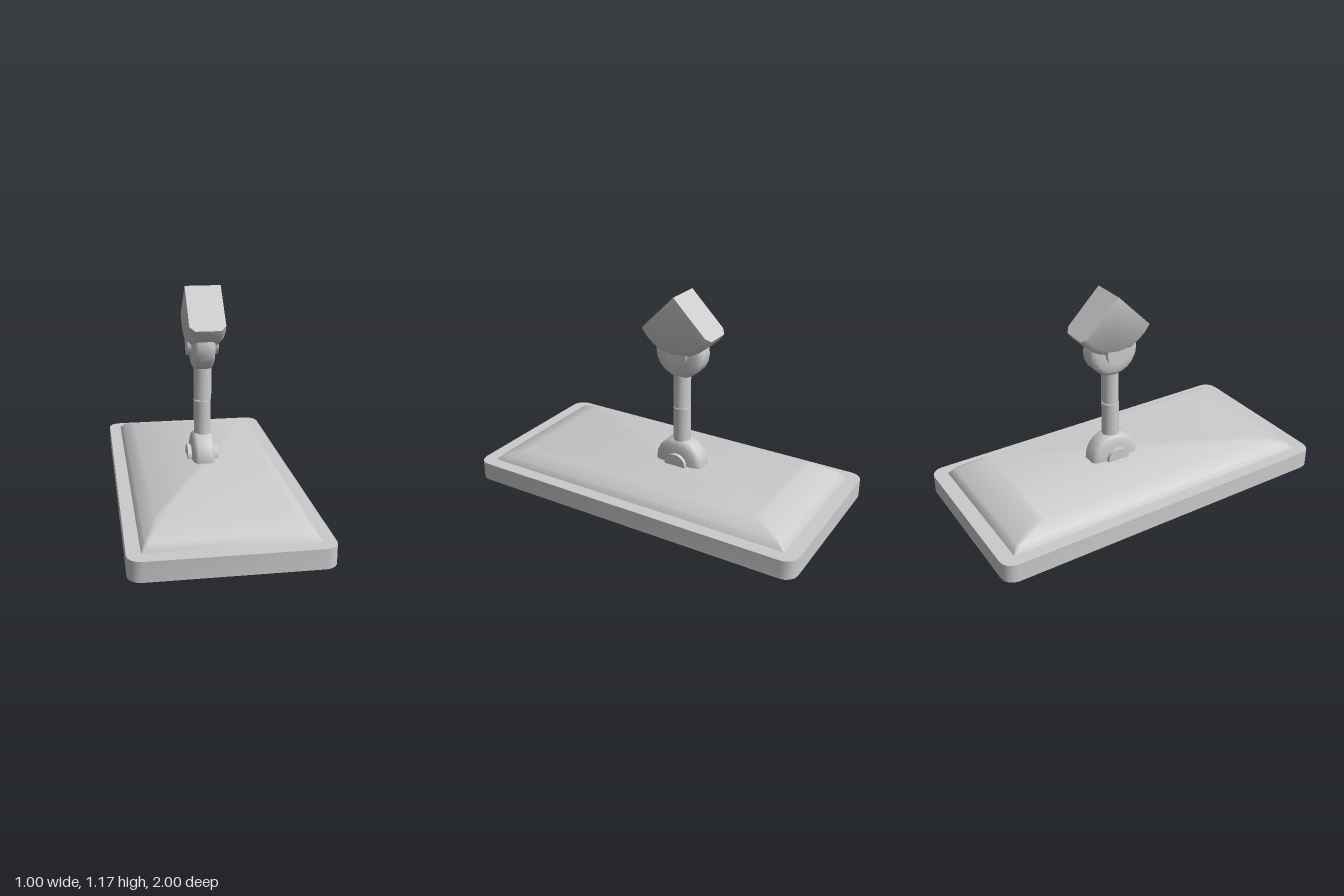
import * as THREE from 'three';
import { toCreasedNormals } from 'three/addons/utils/BufferGeometryUtils.js';

const material = new THREE.MeshStandardMaterial({ color: 0xcccccc });

function addMesh(parent, name, geometry, crease = 0.7) {
  const mesh = new THREE.Mesh(toCreasedNormals(geometry, crease), material);
  mesh.name = name;
  parent.add(mesh);
  return mesh;
}

// Skins a list of closed rings (equal point counts) and caps both ends
function loft(rings) {
  const n = rings[0].length;
  const points = rings.flat();
  const index = [];
  for (let i = 0; i < rings.length - 1; i++) {
    for (let j = 0; j < n; j++) {
      const k = (j + 1) % n;
      const a = i * n + j, b = i * n + k;
      index.push(a, b, b + n, a, b + n, a + n);
    }
  }
  const last = (rings.length - 1) * n;
  for (let j = 1; j < n - 1; j++) {
    index.push(0, j + 1, j, last, last + j, last + j + 1);
  }
  const geometry = new THREE.BufferGeometry().setFromPoints(points);
  geometry.setIndex(index);
  return geometry;
}

// Rounded rectangle at height y, counter-clockwise seen from above
function roundedRing(halfX, halfZ, radius, y, steps = 4) {
  const ring = [];
  [[1, -1], [-1, -1], [-1, 1], [1, 1]].forEach(([sx, sz], corner) => {
    for (let i = 0; i <= steps; i++) {
      const a = (corner + i / steps) * Math.PI / 2;
      ring.push(new THREE.Vector3(
        sx * (halfX - radius) + radius * Math.cos(a), y,
        sz * (halfZ - radius) - radius * Math.sin(a)));
    }
  });
  return ring;
}

// Head section: right-angled peak over a round belly, seen from +x
function headRing(x, radius) {
  const apex = 1.175, centre = 1.094, d = apex - centre;
  const u = (d + Math.sqrt(2 * radius * radius - d * d)) / 2;
  const half = Math.acos((centre - (apex - u)) / radius);
  const ring = [new THREE.Vector3(x, apex, 0)];
  const steps = 10;
  for (let i = 0; i <= steps; i++) {
    const a = half * (1 - 2 * i / steps);
    ring.push(new THREE.Vector3(x, centre - radius * Math.cos(a), radius * Math.sin(a)));
  }
  return ring;
}

// Hinge: soft-edged disc across x with a smaller hub through it
function addHinge(parent, name, y) {
  const hinge = new THREE.Group();
  hinge.name = name;
  hinge.position.y = y;
  const half = [[0, 0.065], [0.08, 0.065], [0.115, 0.06], [0.135, 0.052], [0.145, 0.036]];
  const profile = [
    ...half.map(([r, h]) => new THREE.Vector2(r, -h)),
    ...half.map(([r, h]) => new THREE.Vector2(r, h)).reverse(),
  ];
  const disc = addMesh(hinge, name + 'Disc', new THREE.LatheGeometry(profile, 20), 0.9);
  const hub = addMesh(hinge, name + 'Hub', new THREE.CylinderGeometry(0.065, 0.065, 0.174, 20));
  disc.rotation.z = hub.rotation.z = -Math.PI / 2;
  parent.add(hinge);
}

export function createModel() {
  const model = new THREE.Group();
  model.name = 'panelWithArm';

  // Frame with a shallow recess underneath
  addMesh(model, 'frame', loft([
    roundedRing(0.475, 0.975, 0.05, 0.015),
    roundedRing(0.475, 0.975, 0.05, 0),
    roundedRing(0.5, 1, 0.07, 0),
    roundedRing(0.5, 1, 0.07, 0.105),
  ]));

  // Raised back cover
  addMesh(model, 'backCover', loft([
    roundedRing(0.433, 0.92, 0.005, 0.1),
    roundedRing(0.43, 0.92, 0.005, 0.105),
    roundedRing(0.41, 0.885, 0.025, 0.14),
    roundedRing(0.347, 0.74, 0.04, 0.19),
  ]));

  // Arm: two hinges, two tube sections and the head
  const arm = new THREE.Group();
  arm.name = 'arm';
  arm.position.z = -0.095;
  model.add(arm);

  addHinge(arm, 'lowerHinge', 0.192);
  addHinge(arm, 'upperHinge', 0.853);

  const lowerTube = addMesh(arm, 'lowerTube', new THREE.CylinderGeometry(0.049, 0.049, 0.27, 20));
  lowerTube.position.set(0.003, 0.39, 0);
  const upperTube = addMesh(arm, 'upperTube', new THREE.CylinderGeometry(0.051, 0.051, 0.25, 20));
  upperTube.position.set(0.004, 0.655, 0);
  upperTube.scale.z = 0.92;

  // Head with bevelled belly edges
  const head = addMesh(arm, 'head', loft([
    headRing(-0.1, 0.219),
    headRing(-0.07, 0.249),
    headRing(0.07, 0.249),
    headRing(0.1, 0.219),
  ]), 0.85);
  head.position.x = 0.006;

  return model;
}
